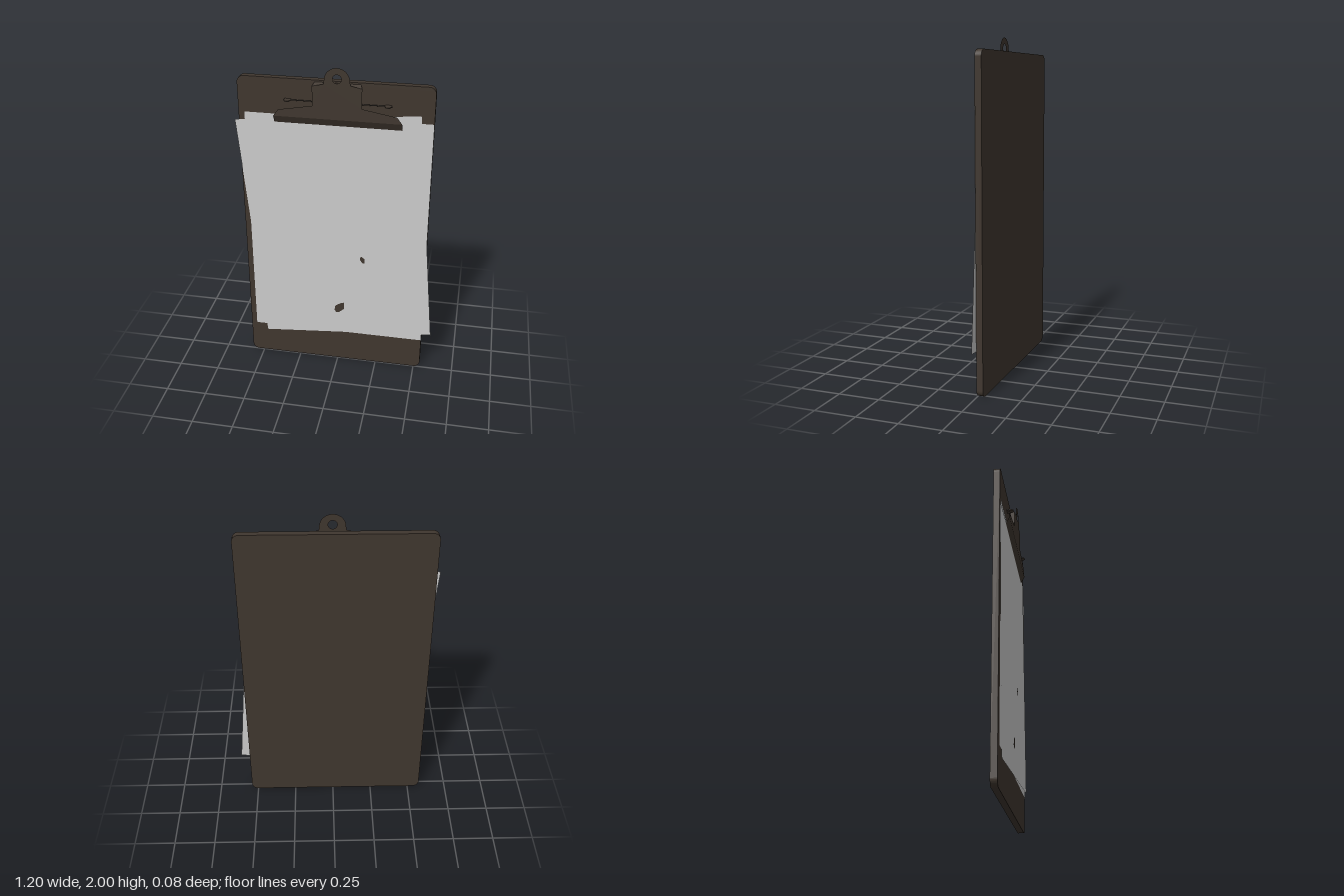
import * as THREE from 'three';

export function createModel() {
  const model = new THREE.Group();
  const brown = new THREE.MeshStandardMaterial({ name: 'dark brown', color: 0x40372f, side: THREE.DoubleSide });
  const white = new THREE.MeshStandardMaterial({ name: 'paper grey', color: 0xcccccc, side: THREE.DoubleSide });

  function add(name, geometry, material, x = 0, y = 0, z = 0) {
    const mesh = new THREE.Mesh(geometry, material);
    mesh.name = name;
    mesh.position.set(x, y, z);
    model.add(mesh);
    return mesh;
  }
  const polygon = (pts) => new THREE.Shape(pts.map(([x, y]) => new THREE.Vector2(x, y)));

  // Flat four-cornered panel in space
  function quad(a, b, c, d) {
    const g = new THREE.BufferGeometry();
    g.setAttribute('position', new THREE.Float32BufferAttribute([...a, ...b, ...c, ...d], 3));
    g.setIndex([0, 1, 2, 0, 2, 3]);
    g.computeVertexNormals();
    return g;
  }

  // Board with rounded corners
  const [l, r, h, c] = [-0.575, 0.54, 1.915, 0.04];
  const outline = new THREE.Shape();
  outline.absarc(r - c, c, c, -Math.PI / 2, 0);
  outline.absarc(r - c, h - c, c, 0, Math.PI / 2);
  outline.absarc(l + c, h - c, c, Math.PI / 2, Math.PI);
  outline.absarc(l + c, c, c, Math.PI, Math.PI * 1.5);
  add('board', new THREE.ExtrudeGeometry(outline, { depth: 0.038, bevelEnabled: false, curveSegments: 5 }), brown, 0, 0, -0.039);

  // Two sheets of paper, one turned slightly
  add('straightSheet', new THREE.PlaneGeometry(1.08, 1.485), white, 0, 0.96, 0.002);
  add('turnedSheet', new THREE.PlaneGeometry(1.07, 1.485), white, 0, 0.96, 0.004).rotation.z = 0.089;

  // Dark spots on the paper
  add('largeSpot', new THREE.ShapeGeometry(polygon([
    [-0.02, 0.39], [-0.01, 0.37], [0.01, 0.375], [0.04, 0.40], [0.04, 0.45], [0.02, 0.445], [-0.015, 0.42],
  ])), brown, 0, 0, 0.006);
  add('smallSpot', new THREE.ShapeGeometry(polygon([
    [0.14, 0.78], [0.155, 0.76], [0.168, 0.762], [0.168, 0.79], [0.15, 0.805], [0.138, 0.80],
  ])), brown, 0, 0, 0.006);

  // Clip plate with wings, raised tab and hanging ring
  const front = 0.028;
  const plate = new THREE.Shape();
  plate.moveTo(-0.365, 1.70);
  plate.lineTo(0.365, 1.70);
  plate.lineTo(0.335, 1.74);
  plate.lineTo(0.14, 1.775);
  plate.lineTo(0.14, 1.89);
  plate.lineTo(0.075, 1.905);
  plate.absarc(0, 1.928, 0.072, 0, Math.PI);
  plate.lineTo(-0.075, 1.905);
  plate.lineTo(-0.14, 1.89);
  plate.lineTo(-0.14, 1.775);
  plate.lineTo(-0.335, 1.74);
  const hole = new THREE.Path();
  hole.absarc(0, 1.937, 0.025, 0, Math.PI * 2, true);
  plate.holes.push(hole);
  add('clipPlate', new THREE.ShapeGeometry(plate, 12), brown, 0, 0, front);

  // Sloping lip that presses on the paper
  add('clipLip', quad([-0.365, 1.655, 0.005], [0.365, 1.655, 0.005], [0.365, 1.70, front], [-0.365, 1.70, front]), brown);

  // Top of the raised tab
  add('tabTop', quad([-0.14, 1.89, front], [0.14, 1.89, front], [0.13, 1.905, 0], [-0.13, 1.905, 0]), brown);

  for (const s of [-1, 1]) {
    // Side wall of the raised tab
    add('tabSide', quad([s * 0.14, 1.81, front], [s * 0.14, 1.89, front], [s * 0.13, 1.905, 0], [s * 0.13, 1.795, 0]), brown);
    // Tapered flat spring end
    const end = new THREE.ExtrudeGeometry(polygon([[-0.018, 0], [0.018, 0], [0.018, 0.025], [0.01, 0.04], [-0.01, 0.04], [-0.018, 0.025]]),
      { depth: 0.005, bevelEnabled: false });
    add('springEnd', end, brown, s * 0.283, 1.798, 0).rotation.x = Math.PI / 2;
  }

  // Spring wire across the clip
  const wire = new THREE.CylinderGeometry(0.003, 0.003, 0.61, 8);
  wire.rotateZ(Math.PI / 2);
  add('springWire', wire, brown, 0, 1.795, 0.012);

  return model;
}
